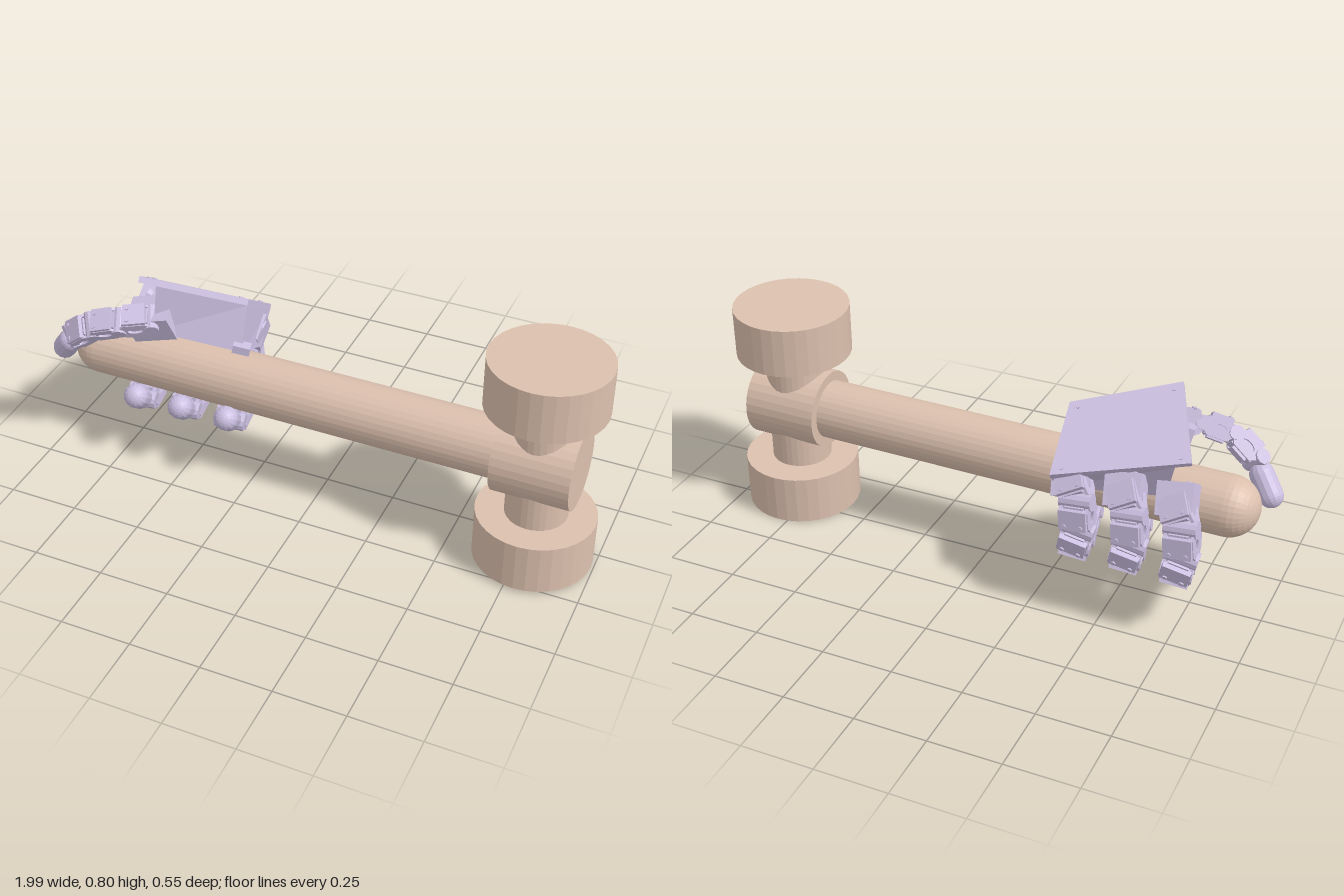
import * as THREE from 'three';

const V = (x, y, z) => new THREE.Vector3(x, y, z);
const tan = new THREE.MeshStandardMaterial({ color: 0xdcc0ae, flatShading: true });
const lilac = new THREE.MeshStandardMaterial({ color: 0xcbbfe0, flatShading: true });

function add(parent, name, geometry, material, pos = [0, 0, 0], rot = [0, 0, 0]) {
  const mesh = new THREE.Mesh(geometry, material);
  mesh.name = name;
  mesh.position.set(...pos);
  mesh.rotation.set(...rot);
  parent.add(mesh);
  return mesh;
}

// Box whose corners are moved: each list runs front left, front right, back right, back left
function wedge(top, bottom) {
  const g = new THREE.BoxGeometry(1, 1, 1);
  const p = g.attributes.position;
  for (let i = 0; i < p.count; i++) {
    const ring = p.getY(i) > 0 ? top : bottom;
    const right = p.getX(i) > 0, front = p.getZ(i) > 0;
    const c = ring[front ? (right ? 1 : 0) : (right ? 2 : 3)];
    p.setXYZ(i, c.x, c.y, c.z);
  }
  g.computeVertexNormals();
  return g;
}

// Side plate of a link, with rounded ends and a slot; lies in the length/height plane
function cheekGeometry(length, height, thick) {
  const l = length / 2, h = height / 2, c = height * 0.25;
  const s = new THREE.Shape([[-l, -h + c], [-l + c, -h], [l - c, -h], [l, -h + c], [l, h - c], [l - c, h], [-l + c, h], [-l, h - c]]
    .map(([x, y]) => new THREE.Vector2(x, y)));
  const hole = new THREE.Path();
  hole.absellipse(0, 0, l * 0.5, h * 0.35, 0, Math.PI * 2, true);
  s.holes.push(hole);
  const g = new THREE.ExtrudeGeometry(s, { depth: thick, bevelEnabled: false });
  g.translate(0, 0, -thick / 2);
  g.rotateY(-Math.PI / 2);
  return g;
}

// Group at the middle of a-b with z along the link and y away from the handle
function linkFrame(parent, name, a, b) {
  const d = b.clone().sub(a).normalize();
  const mid = a.clone().add(b).multiplyScalar(0.5);
  const out = V(0, mid.y - 0.39, mid.z - 0.05);
  out.addScaledVector(d, -out.dot(d)).normalize();
  const side = out.clone().cross(d);
  const group = new THREE.Group();
  group.name = name;
  group.position.copy(mid);
  group.quaternion.setFromRotationMatrix(new THREE.Matrix4().makeBasis(side, out, d));
  parent.add(group);
  return group;
}

// One finger link: core, two slotted cheeks, cover, pad, hinge and screws
function buildLink(parent, a, b, w, h) {
  const len = a.distanceTo(b);
  const g = linkFrame(parent, 'link', a, b);
  add(g, 'linkCore', new THREE.BoxGeometry(w * 0.66, h * 0.72, len * 0.82), lilac);
  add(g, 'linkCover', new THREE.BoxGeometry(w * 0.9, h * 0.22, len * 0.7), lilac, [0, h * 0.42, 0]);
  add(g, 'linkPad', new THREE.BoxGeometry(w * 0.55, h * 0.16, len * 0.55), lilac, [0, -h * 0.4, 0]);
  add(g, 'hinge', new THREE.CylinderGeometry(h * 0.3, h * 0.3, w * 1.04, 12), lilac, [0, 0, -len / 2], [0, 0, Math.PI / 2]);
  const cheek = cheekGeometry(len * 0.96, h * 0.8, w * 0.1);
  for (const s of [-1, 1]) {
    add(g, 'cheek', cheek, lilac, [s * w * 0.43, 0, 0]);
    add(g, 'screw', new THREE.CylinderGeometry(0.008, 0.008, 0.008, 8), lilac, [s * w * 0.27, h * 0.54, len * 0.22]);
  }
}

// A jointed digit along a path, ending in a rounded fingertip
function buildDigit(parent, name, points, w, h, tipRadius) {
  const digit = new THREE.Group();
  digit.name = name;
  parent.add(digit);
  const n = points.length;
  for (let i = 0; i < n - 2; i++) buildLink(digit, points[i], points[i + 1], w, h);
  const a = points[n - 2], b = points[n - 1];
  const tip = linkFrame(digit, 'tip', a, b);
  const len = a.distanceTo(b);
  add(tip, 'fingertip', new THREE.CapsuleGeometry(tipRadius, len * 0.6, 6, 14), lilac, [0, 0, len * 0.2], [Math.PI / 2, 0, 0]);
  add(tip, 'tipHinge', new THREE.CylinderGeometry(h * 0.32, h * 0.32, w, 12), lilac, [0, 0, -len / 2], [0, 0, Math.PI / 2]);
}

function buildHammer() {
  const hammer = new THREE.Group();
  hammer.name = 'hammer';
  hammer.position.set(0.785, 0.4, 0.065);
  hammer.rotation.set(-0.027, -0.01, 0.006);
  const along = [0, 0, Math.PI / 2];
  add(hammer, 'handle', new THREE.CylinderGeometry(0.105, 0.105, 1.53, 32), tan, [-0.865, 0, 0], along);
  add(hammer, 'handleEnd', new THREE.SphereGeometry(0.105, 32, 8, 0, Math.PI * 2, 0, Math.PI / 2), tan, [-1.63, 0, 0], along);
  add(hammer, 'collar', new THREE.CylinderGeometry(0.14, 0.14, 0.27, 32), tan, [0, 0, 0], along);
  add(hammer, 'neck', new THREE.CylinderGeometry(0.107, 0.107, 0.46, 32), tan);
  for (const s of [-1, 1])
    add(hammer, 'hammerFace', new THREE.CylinderGeometry(0.205, 0.205, 0.178, 32), tan, [0, s * 0.303, 0]);
  return hammer;
}

function buildHand() {
  const hand = new THREE.Group();
  hand.name = 'hand';

  // Back plate overhanging the palm body
  const top = [V(-0.64, 0.77, 0.12), V(-0.3, 0.685, -0.015), V(-0.32, 0.53, -0.23), V(-0.75, 0.61, -0.1)];
  const normal = V(-0.03, 0.81, -0.58);
  const under = top.map(c => c.clone().addScaledVector(normal, -0.022));
  add(hand, 'backPlate', wedge(top, under), lilac);
  const bodyTop = [under[0].clone().lerp(under[1], 0.16), under[1], under[2], under[3].clone().lerp(under[2], 0.12)];
  const bodyBottom = [V(-0.59, 0.57, 0.14), V(-0.3, 0.51, 0.055), V(-0.31, 0.42, -0.12), V(-0.66, 0.44, -0.06)];
  add(hand, 'palm', wedge(bodyTop, bodyBottom), lilac);

  // Screws near the plate corners
  const centre = top.reduce((s, c) => s.add(c), V(0, 0, 0)).multiplyScalar(0.25);
  for (const c of top) {
    const screw = add(hand, 'plateScrew', new THREE.CylinderGeometry(0.008, 0.008, 0.008, 10), lilac);
    screw.position.copy(c).lerp(centre, 0.16);
    screw.quaternion.setFromUnitVectors(V(0, 1, 0), normal.clone().normalize());
  }
  add(hand, 'wristConnector', new THREE.BoxGeometry(0.06, 0.03, 0.04), lilac, [-0.3, 0.525, 0.05], [0, 0.3, -0.2]);

  // Thumb mount and thumb over the top of the handle
  add(hand, 'thumbMount', new THREE.BoxGeometry(0.16, 0.1, 0.12), lilac, [-0.61, 0.59, 0.09], [0.3, 0.2, 0.2]);
  buildDigit(hand, 'thumb', [
    V(-0.6, 0.61, 0.13), V(-0.7, 0.6, 0.175), V(-0.8, 0.57, 0.195), V(-0.885, 0.5, 0.185), V(-0.958, 0.405, 0.14),
  ], 0.09, 0.085, 0.042);

  // Three fingers around the back and underside of the handle
  const path = [[0.06, 0.5, -0.13], [0.01, 0.435, -0.21], [0, 0.335, -0.215], [0.025, 0.245, -0.18],
    [0.05, 0.2, -0.07], [0.08, 0.215, 0.08], [0.105, 0.285, 0.16]];
  [-0.775, -0.6, -0.42].forEach((x, i) => {
    buildDigit(hand, 'finger' + (i + 1), path.map(p => V(x + p[0], p[1] + i * 0.005, p[2])), 0.105, 0.1, 0.044);
    add(hand, 'knuckle', new THREE.BoxGeometry(0.12, 0.11, 0.1), lilac, [x + 0.05, 0.49 - i * 0.01, -0.14], [0.6, 0, -0.15]);
  });
  return hand;
}

export function createModel() {
  const model = new THREE.Group();
  model.name = 'handWithHammer';
  model.add(buildHammer(), buildHand());
  return model;
}
